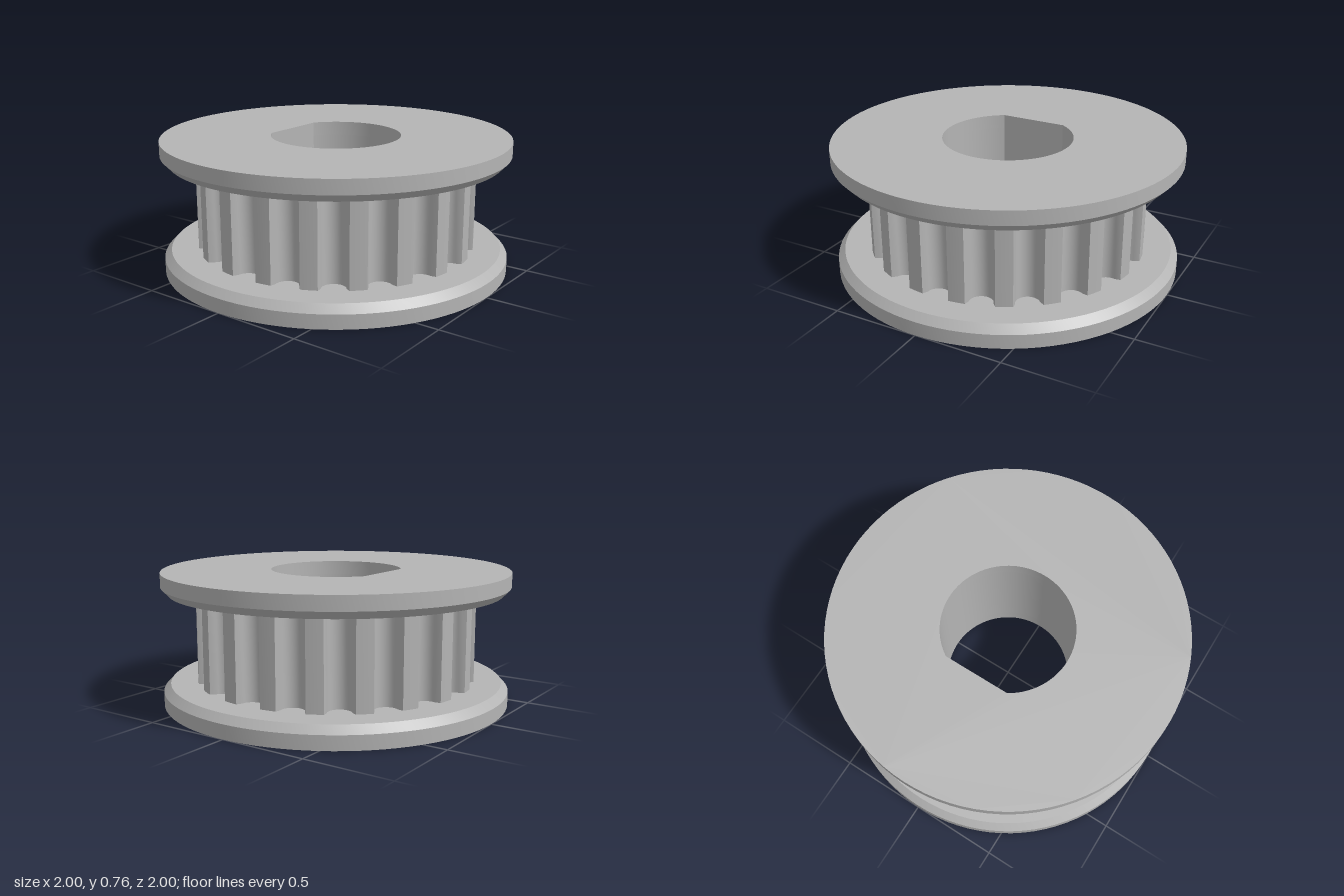
import * as THREE from 'three';
import { toCreasedNormals } from 'three/addons/utils/BufferGeometryUtils.js';

const HEIGHT = 0.76, RIM = 0.08, FLANGE = 0.122; // overall, straight rim, rim plus chamfer
const TEETH = 20, TOOTH_R = 0.805;
const BORE_R = 0.373, BORE_FLAT = 0.318;

// D-shaped bore with its flat on the -x side
function borePath() {
  const a = Math.PI - Math.acos(BORE_FLAT / BORE_R);
  const path = new THREE.Path();
  path.absarc(0, 0, BORE_R, -a, a, false);
  path.closePath();
  return path;
}

// Outline of the toothed drum: rounded grooves between arc-topped lands
function drumShape() {
  const pts = [];
  const step = (Math.PI * 2) / TEETH;
  const halfMouth = 0.08, r = 0.066, arcCentre = TOOTH_R - 0.032;
  const mouthAngle = Math.asin(halfMouth / TOOTH_R);
  for (let i = 0; i < TEETH; i++) {
    const a = i * step, c = Math.cos(a), s = Math.sin(a);
    const add = (out, side) => pts.push(new THREE.Vector2(out * c - side * s, out * s + side * c));
    const mouthOut = TOOTH_R * Math.cos(mouthAngle);
    add(mouthOut, -halfMouth);
    for (let k = 0; k <= 12; k++) {
      const t = (k / 12) * Math.PI;
      add(arcCentre - r * Math.sin(t), -r * Math.cos(t));
    }
    add(mouthOut, halfMouth);
    for (let k = 1; k < 4; k++) {
      const t = mouthAngle + (step - 2 * mouthAngle) * (k / 4);
      add(TOOTH_R * Math.cos(t), TOOTH_R * Math.sin(t));
    }
  }
  return new THREE.Shape(pts);
}

// Upright extrusion with the bore cut through it
function boredSolid(shape, y, height) {
  shape.holes.push(borePath());
  const geo = new THREE.ExtrudeGeometry(shape, { depth: height, bevelEnabled: false, curveSegments: 48 });
  geo.rotateX(-Math.PI / 2).translate(0, y, 0);
  return toCreasedNormals(geo, 0.42);
}

export function createModel() {
  const metal = new THREE.MeshStandardMaterial({ color: 0xb4b4b4 });
  metal.name = 'grey metal';
  const model = new THREE.Group();
  model.name = 'timingPulley';
  const add = (parent, name, geo) => {
    const mesh = new THREE.Mesh(geo, metal);
    mesh.name = name;
    parent.add(mesh);
  };

  add(model, 'toothedDrum', boredSolid(drumShape(), RIM, HEIGHT - 2 * RIM));

  // Two mirrored flanges, each with a chamfered inner edge
  for (const top of [false, true]) {
    const flange = new THREE.Group();
    flange.name = top ? 'topFlange' : 'bottomFlange';
    const disc = new THREE.Shape().absarc(0, 0, 1, 0, Math.PI * 2, false);
    add(flange, 'flangeDisc', boredSolid(disc, 0, RIM));
    const profile = [[1, RIM], [0.96, FLANGE], [0.6, FLANGE]].map(([x, y]) => new THREE.Vector2(x, y));
    add(flange, 'flangeChamfer', toCreasedNormals(new THREE.LatheGeometry(profile, 96), 0.42));
    if (top) {
      flange.rotation.x = Math.PI; // turned over, which keeps the bore flat on -x
      flange.position.y = HEIGHT;
    }
    model.add(flange);
  }
  return model;
}
